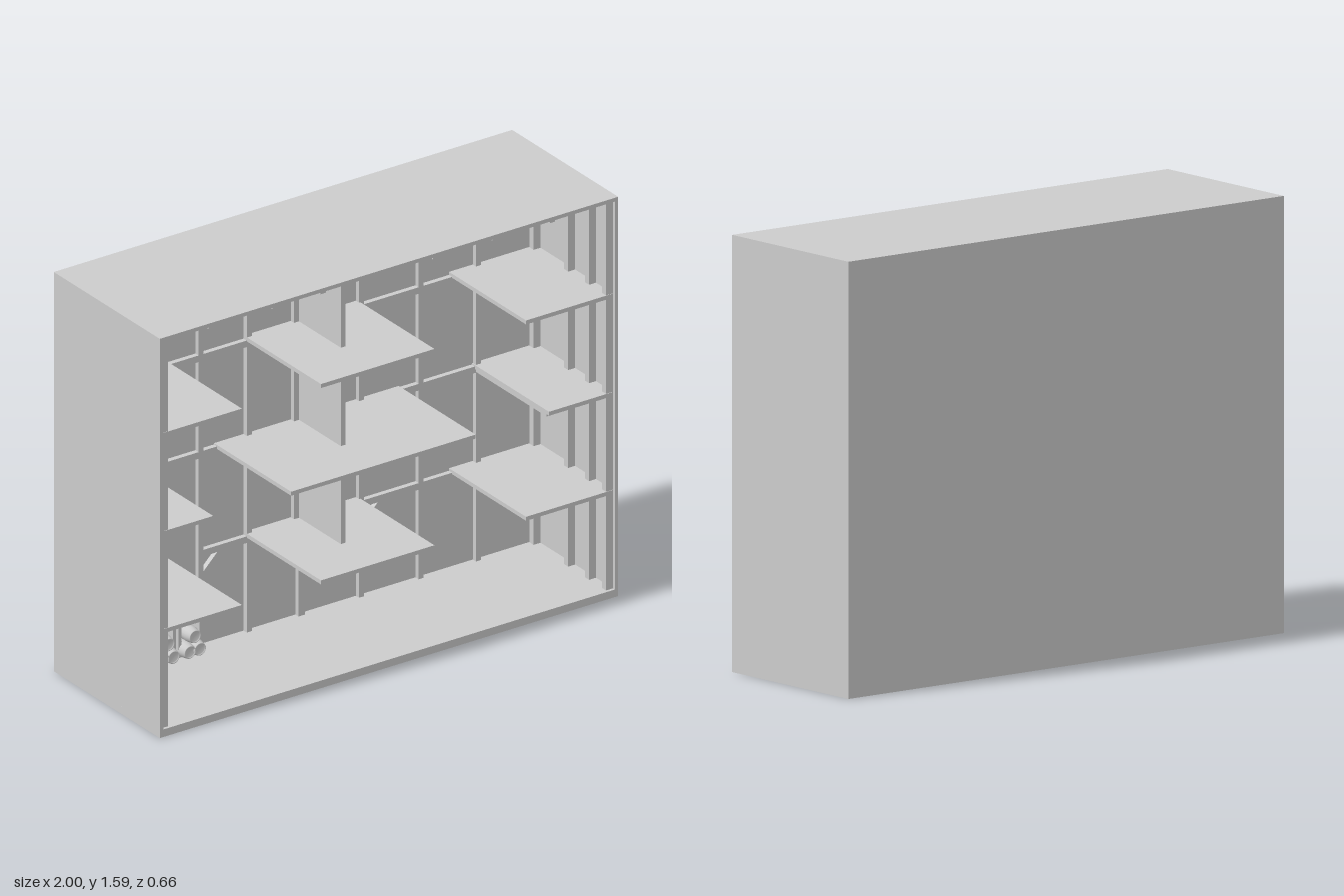
import * as THREE from 'three';

const grey = new THREE.MeshStandardMaterial({ color: 0xcccccc });
const IN = 0.985, BACK = -0.16, FRONT = 0.33, FLOOR = 0.03, CEIL = 1.575;

export function createModel() {
  const root = new THREE.Group();

  const add = (geometry, name, parent = root) => {
    const mesh = new THREE.Mesh(geometry, grey);
    mesh.name = name;
    parent.add(mesh);
    return mesh;
  };
  // Box given by its limits on each axis
  const box = (name, x0, x1, y0, y1, z0, z1, parent) => {
    const mesh = add(new THREE.BoxGeometry(x1 - x0, y1 - y0, z1 - z0), name, parent);
    mesh.position.set((x0 + x1) / 2, (y0 + y1) / 2, (z0 + z1) / 2);
    return mesh;
  };
  const extrude = (shape, depth, name, z, parent) => {
    const geometry = new THREE.ExtrudeGeometry(shape, { depth, bevelEnabled: false, curveSegments: 12 });
    const mesh = add(geometry, name, parent);
    mesh.position.z = z;
    return mesh;
  };

  // Outer shell, open at the front
  box('floor', -1, 1, 0, FLOOR, -0.33, FRONT);
  box('ceiling', -1, 1, CEIL, 1.59, -0.33, FRONT);
  box('leftWall', IN, 1, FLOOR, CEIL, -0.33, FRONT);
  box('rightWall', -1, -IN, FLOOR, CEIL, -0.33, FRONT);
  box('backWall', -IN, IN, FLOOR, CEIL, -0.33, BACK);

  // Timber frame on the back wall
  const frame = new THREE.Group();
  frame.name = 'backFrame';
  root.add(frame);
  const proud = BACK + 0.02;
  const posts = [-0.77, -0.49, -0.28, 0.21, 0.47, 0.72];
  for (const x of [...posts, -0.965, 0.97]) {
    box('backPost', x - 0.011, x + 0.011, FLOOR, CEIL, BACK, proud, frame);
  }
  box('backPost', -0.065, -0.038, FLOOR, 0.4, BACK, proud, frame);
  for (const x of [-0.073, -0.032]) {
    box('backPost', x - 0.012, x + 0.012, 0.4, CEIL, BACK, proud, frame);
  }
  for (const y of [0.795, 1.18, 1.562]) {
    box('backRail', -IN, IN, y - 0.013, y + 0.013, BACK, proud, frame);
  }
  box('backRail', -IN, -0.77, 0.387, 0.413, BACK, proud, frame);
  box('backRail', -0.49, IN, 0.387, 0.413, BACK, proud, frame);

  // Diagonal corner braces below the rails
  const brace = (x, y, dir) => {
    const s = new THREE.Shape();
    s.moveTo(x, y - 0.085);
    s.lineTo(x, y - 0.06);
    s.lineTo(x + dir * 0.06, y);
    s.lineTo(x + dir * 0.085, y);
    s.closePath();
    extrude(s, 0.02, 'cornerBrace', BACK, frame);
  };
  for (const y of [0.782, 1.167, 1.55]) {
    for (const [x, d] of [[-0.955, 1], [-0.085, -1], [-0.02, 1], [0.96, -1]]) brace(x, y, d);
  }
  for (const [x, d] of [[-0.48, 1], [0.2, -1], [0.22, 1], [0.96, -1]]) brace(x, 0.387, d);

  // Timber frame on the side walls
  for (const side of [-1, 1]) {
    const a = side * IN, b = side * 0.955;
    const x0 = Math.min(a, b), x1 = Math.max(a, b);
    for (const z of [-0.145, 0.07, 0.2, 0.305]) {
      box('sidePost', x0, x1, FLOOR, CEIL, z - 0.013, z + 0.013);
    }
    for (const y of [0.4, 0.795, 1.18, 1.562]) {
      box('sideRail', x0, x1, y - 0.013, y + 0.013, BACK, 0.318);
    }
  }

  // Platforms with joists under them: top height and spans in x
  const wide = [[-IN, -0.635], [-0.29, 0.205], [0.605, IN]];
  const narrow = [[-IN, -0.76], [-0.42, 0.385], [0.705, IN]];
  const joistXs = [...posts, -0.052, 0.9, -0.9];
  for (const [y, spans] of [[0.423, wide], [0.813, narrow], [1.205, wide]]) {
    for (const [x0, x1] of spans) {
      box('platform', x0, x1, y - 0.016, y, BACK, 0.32);
      for (const x of joistXs) {
        if (x - 0.011 > x0 && x + 0.011 < x1) {
          box('joist', x - 0.011, x + 0.011, y - 0.028, y - 0.016, BACK, 0.3);
        }
      }
    }
  }
  for (const x of posts) box('ceilingJoist', x - 0.011, x + 0.011, CEIL - 0.012, CEIL, BACK, 0.32);

  // Middle partition on the three upper storeys
  for (const [y0, y1] of [[0.423, 0.797], [0.813, 1.189], [1.205, CEIL]]) {
    box('partition', -0.063, -0.042, y0, y1, BACK, 0.12);
  }

  // Stairs descending from the right wall
  const stairs = new THREE.Shape();
  stairs.moveTo(-IN, FLOOR);
  stairs.lineTo(-IN, 0.125);
  const steps = 6, run = 0.145 / steps, rise = (0.125 - FLOOR) / steps;
  for (let i = 0; i < steps; i++) {
    const x = -0.935 + i * run, y = 0.125 - i * rise;
    stairs.lineTo(x, y);
    stairs.lineTo(x, y - rise);
  }
  stairs.closePath();
  extrude(stairs, 0.18, 'stairs', BACK);

  // Small bench by the right wall
  box('benchTop', -IN, -0.935, 0.107, 0.122, 0.05, 0.24);
  for (const z of [0.05, 0.222]) {
    for (const x of [-IN, -0.95]) box('benchLeg', x, x + 0.015, FLOOR, 0.107, z, z + 0.018);
  }
  box('benchRail', -0.95, -0.935, 0.045, 0.06, 0.068, 0.222);

  // Arched racks holding barrels
  const arch = (cx, r, Path) => {
    const p = new Path();
    p.moveTo(cx - r, FLOOR);
    p.lineTo(cx + r, FLOOR);
    p.lineTo(cx + r, 0.152);
    p.absarc(cx, 0.152, r, 0, Math.PI, false);
    p.closePath();
    return p;
  };
  const barrelProfile = [[0, -0.04], [0.025, -0.04], [0.03, -0.015], [0.03, 0.015], [0.025, 0.04], [0.021, 0.04], [0.021, 0.035], [0, 0.035]]
    .map(([r, y]) => new THREE.Vector2(r, y));
  const barrelGeometry = new THREE.LatheGeometry(barrelProfile, 16).rotateX(Math.PI / 2);
  for (const cx of [-0.673, -0.558]) {
    const s = arch(cx, 0.053, THREE.Shape);
    s.holes.push(arch(cx, 0.04, THREE.Path));
    extrude(s, 0.05, 'archFrame', BACK);
    box('barrelShelf', cx - 0.04, cx + 0.04, 0.079, 0.086, BACK, BACK + 0.04);
    for (const [dx, y] of [[-0.022, 0.057], [0.022, 0.057], [0, 0.113]]) {
      add(barrelGeometry, 'barrel').position.set(cx + dx, y, BACK + 0.04);
    }
  }
  return root;
}
